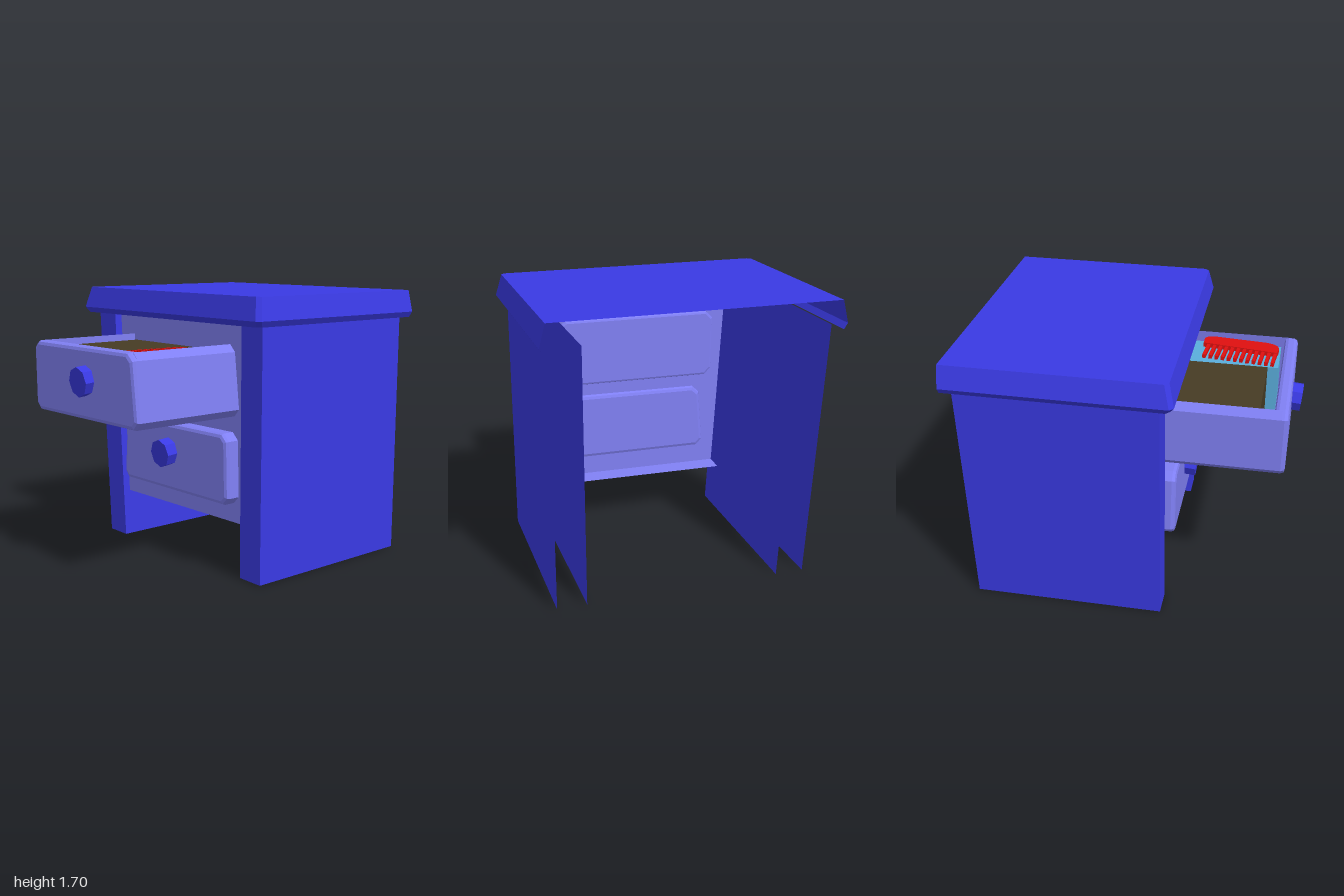
import * as THREE from 'three';

const mat = (color) => new THREE.MeshStandardMaterial({ color, flatShading: true, side: THREE.DoubleSide });
const blue = mat(0x3a3ae4), lilac = mat(0x8080f4), brown = mat(0x463c24), red = mat(0xe01010), cyan = mat(0x5aaedc);

function add(parent, name, geometry, material) {
  const mesh = new THREE.Mesh(geometry, material);
  mesh.name = name;
  parent.add(mesh);
  return mesh;
}

// Open sheet joining successive rows of points
function sheet(rows) {
  const pos = [];
  for (let r = 0; r < rows.length - 1; r++) {
    for (let i = 0; i < rows[r].length - 1; i++) {
      const a = rows[r][i], b = rows[r][i + 1], c = rows[r + 1][i + 1], d = rows[r + 1][i];
      pos.push(...a, ...b, ...c, ...a, ...c, ...d);
    }
  }
  const g = new THREE.BufferGeometry();
  g.setAttribute('position', new THREE.Float32BufferAttribute(pos, 3));
  g.computeVertexNormals();
  return g;
}

const toShape = (pts) => new THREE.Shape(pts.map(([x, y]) => new THREE.Vector2(x, y)));

// Cuts the corners off an outline
function chamfer(pts, size) {
  const out = [];
  pts.forEach((p, i) => {
    const v = new THREE.Vector2(...p);
    for (const q of [pts[(i + pts.length - 1) % pts.length], pts[(i + 1) % pts.length]]) {
      const d = new THREE.Vector2(...q).sub(v).setLength(size);
      out.push([v.x + d.x, v.y + d.y]);
    }
  });
  return out;
}

// Bevelled slab between two depths
function slab(pts, z0, z1, bevel) {
  const g = new THREE.ExtrudeGeometry(toShape(pts), {
    depth: z1 - z0 - 2 * bevel, bevelThickness: bevel, bevelSize: bevel, bevelOffset: -bevel, bevelSegments: 2
  });
  return g.translate(0, 0, z0 + bevel);
}

function prism(pts, z0, z1) {
  return new THREE.ExtrudeGeometry(toShape(pts), { depth: z1 - z0, bevelEnabled: false }).translate(0, 0, z0);
}

function addKnob(parent, x, y, z) {
  const knob = add(parent, 'knob', new THREE.CylinderGeometry(0.09, 0.09, 0.08, 8), blue);
  knob.position.set(x, y, z);
  knob.rotation.x = Math.PI / 2 + 0.09;
}

function buildCabinet() {
  const g = new THREE.Group();
  g.name = 'cabinet';

  // Table top: hollow, flared downwards, open at the back
  const ring = (w, f, y) => [[-w, y, -1], [-w, y, f - 0.025], [-w + 0.025, y, f],
    [w - 0.025, y, f], [w, y, f - 0.025], [w, y, -1]];
  const upper = ring(0.85, 0.30, 1.71);
  add(g, 'topRim', sheet([ring(0.862, 0.308, 1.54), ring(0.885, 0.332, 1.575), upper]), blue);
  add(g, 'topBoard', sheet([[upper[0], upper[1], upper[2]], [upper[5], upper[4], upper[3]]]), blue);

  // Side walls: folded sheets, open at the back and underneath
  const wall = (a, b, y) => [[a, y, -0.95], [a, y, 0.245], [b, y, 0.245], [b, y, -0.95]];
  add(g, 'rightSide', sheet([wall(-0.715, -0.54, 0.01), wall(-0.81, -0.632, 1.56)]), blue);
  add(g, 'leftSide', sheet([wall(0.825, 0.648, 0.015), wall(0.825, 0.648, 1.56)]), blue);

  // Front panel with its top and bottom folded back
  const edge = (xLow, xHigh, low) => [[xHigh, 1.54, 0.07], [xHigh, 1.54, 0.195],
    [xLow, low, 0.195], [xLow, low - 0.005, 0.07]];
  add(g, 'frontPanel', sheet([edge(-0.558, -0.632, 0.315), edge(0.65, 0.65, 0.33)]), lilac);
  return g;
}

function buildOpenDrawer() {
  const g = new THREE.Group();
  g.name = 'openDrawer';
  const outline = chamfer([[-0.508, 0.975], [0.58, 0.985], [0.53, 1.415], [-0.515, 1.41]], 0.045);

  // Tray with a U section, closed by the front and a back wall
  const tray = [...outline.slice(0, 5), [0.492, 1.414], [0.53, 1.03], [-0.47, 1.03], [-0.475, 1.41], ...outline.slice(7)];
  add(g, 'drawerTray', prism(tray, 0.13, 0.9), lilac);
  add(g, 'drawerBack', slab(outline, 0.11, 0.16, 0.015), lilac);
  add(g, 'drawerFront', slab(outline, 0.855, 0.94, 0.025), lilac);
  addKnob(g, 0.07, 1.215, 0.957);

  // Things kept in the drawer
  add(g, 'brownBox', new THREE.BoxGeometry(0.585, 0.34, 0.58), brown).position.set(-0.162, 1.2, 0.48);
  add(g, 'blueBook', new THREE.BoxGeometry(0.305, 0.32, 0.62), cyan).position.set(0.322, 1.19, 0.525);

  const comb = new THREE.Group();
  comb.name = 'comb';
  const spine = new THREE.Shape();
  spine.moveTo(0.37, -0.335);
  spine.lineTo(0.43, -0.335);
  spine.quadraticCurveTo(0.475, -0.34, 0.475, -0.4);
  spine.lineTo(0.44, -0.74);
  spine.quadraticCurveTo(0.42, -0.83, 0.35, -0.825);
  spine.lineTo(0.30, -0.815);
  const spineGeo = new THREE.ExtrudeGeometry(spine, { depth: 0.03, bevelEnabled: false, curveSegments: 6 });
  add(comb, 'combSpine', spineGeo.rotateX(-Math.PI / 2).translate(0, 1.36, 0), red);
  for (let i = 0; i < 12; i++) {
    const t = i / 11;
    const tooth = add(comb, 'combTooth', new THREE.BoxGeometry(0.18, 0.025, 0.021), red);
    tooth.position.set(0.295 - 0.045 * t, 1.373, 0.365 + 0.437 * t);
    tooth.rotation.y = -0.08;
  }
  g.add(comb);
  return g;
}

function buildClosedDrawer() {
  const g = new THREE.Group();
  g.name = 'closedDrawer';
  const outline = chamfer([[-0.485, 0.44], [0.578, 0.45], [0.565, 0.887], [-0.45, 0.875]], 0.045);
  add(g, 'drawerFront', slab(outline, 0.17, 0.29, 0.025), lilac);
  addKnob(g, 0.01, 0.695, 0.323);
  return g;
}

export function createModel() {
  const model = new THREE.Group();
  model.name = 'nightstand';
  model.add(buildCabinet(), buildOpenDrawer(), buildClosedDrawer());
  return model;
}
